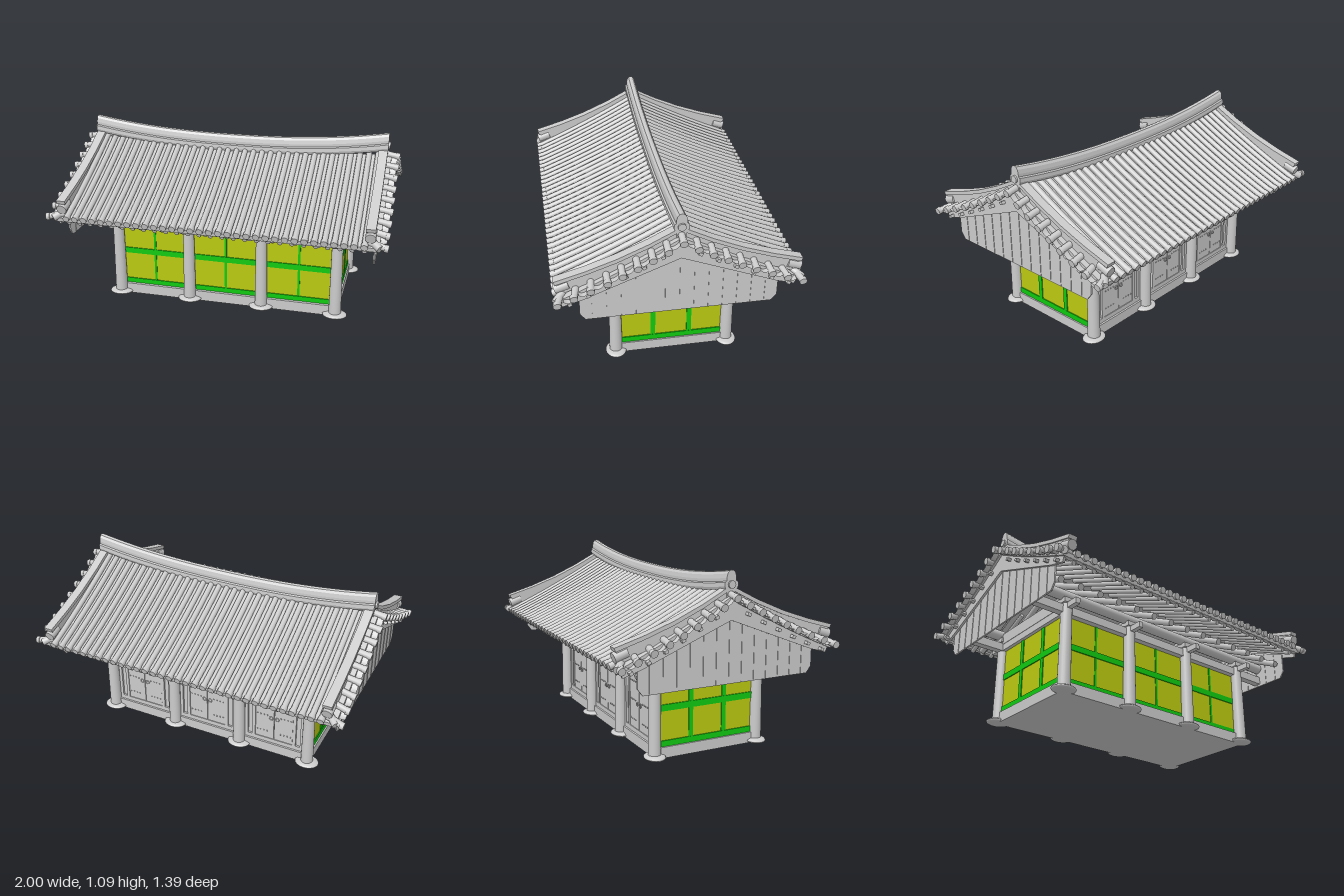
import * as THREE from 'three';

const grey = new THREE.MeshStandardMaterial({ color: 0xcccccc });
const greySheet = new THREE.MeshStandardMaterial({ color: 0xcccccc, side: THREE.DoubleSide });
const yellow = new THREE.MeshStandardMaterial({ color: 0xbbca10 });
const green = new THREE.MeshStandardMaterial({ color: 0x10ca10 });

// Height of the curved roof surface
const roofY = (x, z) => {
  const a = Math.abs(z);
  return 0.935 - 0.53 * a + 0.1 * a * a + 0.02 * (x / 0.93) ** 2 * (1 - a / 0.68);
};

function add(parent, name, geometry, material = grey, x = 0, y = 0, z = 0) {
  const mesh = new THREE.Mesh(geometry, material);
  mesh.name = name;
  mesh.position.set(x, y, z);
  parent.add(mesh);
  return mesh;
}

const box = (parent, name, w, h, d, x, y, z, material = grey) =>
  add(parent, name, new THREE.BoxGeometry(w, h, d), material, x, y, z);

// Round bar between two points
function bar(parent, name, a, b, r0, r1 = r0, sides = 10) {
  const from = new THREE.Vector3(...a), to = new THREE.Vector3(...b);
  const dir = to.clone().sub(from);
  const mesh = add(parent, name, new THREE.CylinderGeometry(r1, r0, dir.length(), sides));
  mesh.position.copy(from).add(to).multiplyScalar(0.5);
  mesh.quaternion.setFromUnitVectors(new THREE.Vector3(0, 1, 0), dir.normalize());
  return mesh;
}

// Extrude along x a profile given as its +z half, from the top centre to the bottom centre
function profileX(half, x0, x1, steps = 1, lift = () => 0) {
  const other = half.filter(p => p[0] > 0).reverse().map(([z, y]) => [-z, y]);
  const shape = new THREE.Shape([...half, ...other].map(p => new THREE.Vector2(...p)));
  const g = new THREE.ExtrudeGeometry(shape, { depth: x1 - x0, steps, bevelEnabled: false });
  g.rotateY(Math.PI / 2).translate(x0, 0, 0);
  const p = g.attributes.position;
  for (let i = 0; i < p.count; i++) p.setY(i, p.getY(i) + lift(p.getX(i), p.getZ(i)));
  g.computeVertexNormals();
  return g;
}

const slope = (offset, end, n = 10) =>
  Array.from({ length: n + 1 }, (_, i) => [end * i / n, roofY(0, end * i / n) + offset]);

function buildBase(g) {
  box(g, 'floor', 1.4, 0.03, 0.64, 0, 0.02, 0);
  for (const s of [-1, 1]) {
    box(g, 'longSill', 1.38, 0.065, 0.05, 0, 0.0375, s * 0.31);
    box(g, 'endSill', 0.05, 0.065, 0.64, s * 0.68, 0.0375, 0);
    for (const x of [-0.69, -0.23, 0.23, 0.69]) {
      const stone = add(g, 'baseStone', new THREE.SphereGeometry(1, 20, 10), grey, x, 0.018, s * 0.335);
      stone.scale.set(0.075, 0.018, 0.062);
      bar(g, 'column', [x, 0.015, s * 0.335], [x, 0.56, s * 0.335], 0.038, 0.033, 20);
      box(g, 'bracket', 0.03, 0.035, 0.13, x, 0.515, s * 0.38);
      box(g, 'bracketBlock', 0.075, 0.03, 0.075, x, 0.545, s * 0.335);
    }
  }
}

function buildWalls(g) {
  // Front panels
  box(g, 'frontWall', 1.36, 0.41, 0.02, 0, 0.275, 0.3, yellow);
  for (const y of [0.083, 0.295]) box(g, 'frontRail', 1.36, 0.036, 0.024, 0, y, 0.304, green);
  for (const x of [-0.46, 0, 0.46]) box(g, 'frontMullion', 0.014, 0.41, 0.024, x, 0.275, 0.302, green);
  // End panels
  for (const s of [-1, 1]) {
    box(g, 'endWall', 0.02, 0.41, 0.62, s * 0.68, 0.275, 0, yellow);
    for (const y of [0.086, 0.298]) box(g, 'endRail', 0.024, 0.038, 0.62, s * 0.684, y, 0, green);
    for (const z of [-0.105, 0.112]) box(g, 'endMullion', 0.024, 0.41, 0.028, s * 0.683, 0.275, z, green);
  }
  // Back wall with a double door in each bay
  box(g, 'backWall', 1.36, 0.41, 0.02, 0, 0.275, -0.3);
  for (const bay of [-0.46, 0, 0.46]) {
    const door = new THREE.Group();
    door.name = 'doubleDoor';
    door.position.set(bay, 0, -0.312);
    g.add(door);
    for (const y of [0.083, 0.452]) box(door, 'frameRail', 0.39, 0.03, 0.022, 0, y, 0);
    for (const s of [-1, 1]) {
      box(door, 'outerPost', 0.02, 0.38, 0.022, s * 0.185, 0.27, 0);
      box(door, 'doorPost', 0.02, 0.38, 0.022, s * 0.135, 0.27, 0);
      box(door, 'leaf', 0.121, 0.335, 0.012, s * 0.0625, 0.267, -0.002);
      const ring = add(door, 'ringHandle', new THREE.TorusGeometry(0.011, 0.003, 6, 14), grey, s * 0.02, 0.255, -0.01);
      ring.rotation.x = 0.1;
      for (const y of [0.15, 0.27, 0.385])
        for (let i = 0; i < 4; i++)
          add(door, 'stud', new THREE.SphereGeometry(0.004, 6, 5), grey, s * (0.045 + i * 0.022), y, -0.008);
    }
  }
}

function buildFraming(g) {
  for (const s of [-1, 1]) {
    box(g, 'lintel', 1.84, 0.05, 0.045, 0, 0.498, s * 0.325);
    bar(g, 'purlin', [-0.92, 0.585, s * 0.335], [0.92, 0.585, s * 0.335], 0.032, 0.032, 14);
    box(g, 'endLintel', 0.045, 0.05, 0.66, s * 0.69, 0.498, 0);
    // Flying rafters and the sparser round rafters below
    for (let i = 0; i < 27; i++) {
      const x = -0.87 + i * 1.74 / 26;
      bar(g, 'eaveRafter', [x, 0.587, s * 0.65], [x, 0.745, s * 0.28], 0.014, 0.014, 8);
    }
    for (let i = 0; i < 14; i++) {
      const x = -0.865 + i * 1.73 / 13;
      bar(g, 'rafter', [x, 0.545, s * 0.53], [x, 0.79, s * 0.02], 0.02, 0.02, 10);
    }
    box(g, 'eaveBoard', 1.86, 0.022, 0.025, 0, 0.608, s * 0.65);
  }
  bar(g, 'ridgePurlin', [-0.92, 0.79, 0], [0.92, 0.79, 0], 0.035, 0.035, 14);
  for (const x of [-0.69, -0.23, 0.23, 0.69]) box(g, 'crossBeam', 0.05, 0.07, 0.7, x, 0.55, 0);
  box(g, 'ceiling', 1.36, 0.015, 0.62, 0, 0.485, 0);
}

function buildGable(g, s) {
  const span = (a, b) => s > 0 ? [a, b] : [-b, -a];
  const board = [[0, 0.85], [0.55, 0.62], [0.55, 0.5], [0.52, 0.46], [0, 0.46]];
  add(g, 'gableBoard', profileX(board, ...span(0.912, 0.922)));
  // Plank joints on both faces
  for (let i = -6; i <= 6; i++) {
    const z = i * 0.08, top = 0.84 - 0.42 * Math.abs(z);
    box(g, 'plankBatten', 0.016, top - 0.465, 0.006, s * 0.917, (top + 0.465) / 2, z);
  }
  const barge = [[0, 0.925], [0.3, 0.775], [0.655, 0.612], [0.64, 0.572], [0.53, 0.605], [0, 0.815]];
  add(g, 'bargeBoard', profileX(barge, ...span(0.922, 0.936)));
  for (const z of [0.1, 0.2, 0.3, 0.4, 0.5, 0.6])
    for (const side of [-1, 1]) {
      const peg = box(g, 'tilePeg', 0.03, 0.018, 0.022, s * 0.945, roofY(0.93, z) - 0.058, side * z);
      peg.rotation.x = side * 0.43;
    }
}

function buildRoof(g) {
  const lift = (x, z) => roofY(x, z) - roofY(0, z);
  add(g, 'roofSheet', profileX([...slope(-0.004, 0.67), ...slope(-0.03, 0.665).reverse()], -0.95, 0.95, 12, lift));

  // Rows of round tiles running down both slopes
  for (const s of [-1, 1])
    for (let i = 0; i < 33; i++) {
      const x = -0.87 + i * 1.74 / 32;
      const path = new THREE.CatmullRomCurve3(
        [0, 0.17, 0.34, 0.51, 0.68].map(z => new THREE.Vector3(x, roofY(x, z) + 0.004, s * z)));
      add(g, 'roofTileRow', new THREE.TubeGeometry(path, 10, 0.0175, 8), grey);
      const y = roofY(x, 0.68) + 0.003;
      bar(g, 'eaveTileEnd', [x, y + 0.008, s * 0.66], [x, y, s * 0.688], 0.02);
    }

  for (const s of [-1, 1]) {
    // Short verge tiles over the gable, fanning out at the corners
    for (let i = -8; i <= 8; i++) {
      const z = i * 0.08, y = roofY(0.93, z);
      const fan = Math.sign(z) * Math.max(0, Math.abs(z) - 0.4) * 0.12;
      bar(g, 'vergeTile', [s * 0.89, y + 0.005, z], [s * 0.99, y - 0.012, z + fan], 0.019, 0.019, 12);
      bar(g, 'vergeTileEnd', [s * 0.975, y - 0.01, z + fan], [s * 0.998, y - 0.014, z + fan], 0.022, 0.022, 12);
      if (i === 8) continue;
      // Hollow tiles between them
      const trough = new THREE.CylinderGeometry(0.03, 0.03, 0.08, 8, 1, true, -Math.PI * 0.8, Math.PI * 0.6);
      trough.rotateZ(Math.PI / 2);
      const zc = z + 0.04;
      const t = add(g, 'vergeTrough', trough, greySheet, s * 0.945, roofY(0.93, zc) + 0.012, zc);
      const p = trough.attributes.position;
      for (let k = 0; k < p.count; k++) {
        const az = (k % 9) / 8 * 2 - 1;
        p.setZ(k, az * 0.034);
        p.setY(k, -0.036 + 0.022 * az * az + (roofY(0.93, zc + az * 0.034) - roofY(0.93, zc)));
      }
      trough.computeVertexNormals();
      t.scale.x = 1;
    }
    // Descending ridge above each verge: core and wider cap
    const core = [[0, 0.985], [0.17, 0.897], [0.34, 0.823], [0.51, 0.763], [0.665, 0.712],
      [0.65, 0.64], [0.34, 0.76], [0, 0.92]];
    const cap = [[0, 1.003], [0.17, 0.915], [0.34, 0.841], [0.51, 0.781], [0.68, 0.732],
      [0.672, 0.71], [0.51, 0.758], [0.34, 0.817], [0.17, 0.891], [0, 0.98]];
    add(g, 'vergeRidge', profileX(core, s * 0.9 - 0.019, s * 0.9 + 0.019));
    add(g, 'vergeRidgeCap', profileX(cap, s * 0.9 - 0.027, s * 0.9 + 0.027));
    for (const side of [-1, 1]) {
      bar(g, 'vergeRidgeEnd', [s * 0.9, 0.7, side * 0.6], [s * 0.9, 0.675, side * 0.675], 0.03, 0.03, 14);
      bar(g, 'cornerTile', [s * 0.9, 0.65, side * 0.63], [s * 0.955, 0.622, side * 0.678], 0.02, 0.022, 12);
    }
  }

  // Main ridge sweeping up at both ends
  const ridge = [[0, 1.016], [0.014, 1.012], [0.025, 0.998], [0.03, 0.975], [0.03, 0.958],
    [0.04, 0.952], [0.042, 0.93], [0.036, 0.915], [0, 0.915]];
  const rise = (x, z) => 0.07 * Math.abs(x / 0.93) ** 2.3;
  add(g, 'mainRidge', profileX(ridge, -0.93, 0.93, 28, rise));
  for (const s of [-1, 1]) {
    box(g, 'ridgeEndBlock', 0.03, 0.1, 0.05, s * 0.91, 0.955, 0);
    bar(g, 'ridgeEndTile', [s * 0.9, 1.008, 0], [s * 0.94, 1.008, 0], 0.022, 0.022, 14);
  }
}

export function createModel() {
  const model = new THREE.Group();
  model.name = 'tiledHall';
  const part = (name, build) => {
    const g = new THREE.Group();
    g.name = name;
    build(g);
    model.add(g);
  };
  part('baseAndColumns', buildBase);
  part('walls', buildWalls);
  part('framing', buildFraming);
  part('leftGable', g => buildGable(g, 1));
  part('rightGable', g => buildGable(g, -1));
  part('roof', buildRoof);
  return model;
}
